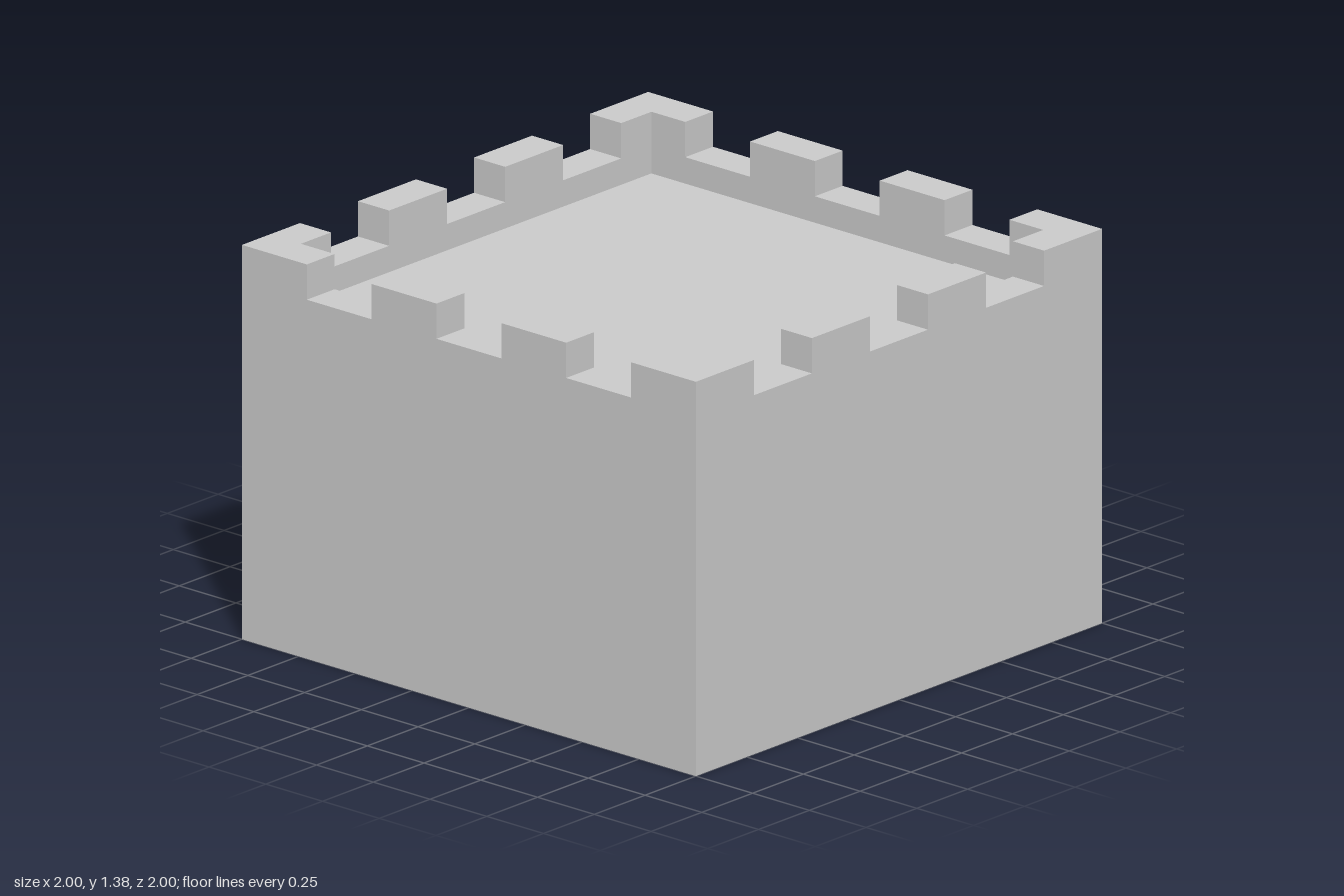
import * as THREE from 'three';

const HALF = 1;           // half the outer width
const INNER = 0.863;      // half the inner width
const FLOOR = 1.16;       // roof floor height
const NOTCH = 1.252;      // bottom of the gaps
const TOP = 1.375;        // top of the merlons
const SEGMENTS = 7;       // merlons and gaps alternate along each side

const material = new THREE.MeshStandardMaterial({ color: 0xcccccc, flatShading: true });

// Battlemented wall outline, extruded inwards and mitred at both ends
function wallGeometry() {
  const shape = new THREE.Shape();
  shape.moveTo(-HALF, 0);
  shape.lineTo(HALF, 0);
  const step = (2 * HALF) / SEGMENTS;
  for (let i = 0; i < SEGMENTS; i++) {
    const y = i % 2 ? NOTCH : TOP;
    shape.lineTo(HALF - i * step, y);
    shape.lineTo(HALF - (i + 1) * step, y);
  }
  shape.closePath();

  const geometry = new THREE.ExtrudeGeometry(shape, { depth: HALF - INNER, bevelEnabled: false });
  geometry.translate(0, 0, INNER);
  const p = geometry.attributes.position;
  for (let i = 0; i < p.count; i++) {
    const limit = p.getZ(i);
    p.setX(i, THREE.MathUtils.clamp(p.getX(i), -limit, limit));
  }
  geometry.computeVertexNormals();
  return geometry;
}

export function createModel() {
  const tower = new THREE.Group();
  tower.name = 'towerTop';

  // Four identical walls around the core
  const geometry = wallGeometry();
  ['frontWall', 'leftWall', 'backWall', 'rightWall'].forEach((name, i) => {
    const wall = new THREE.Mesh(geometry, material);
    wall.name = name;
    wall.rotation.y = (i * Math.PI) / 2;
    tower.add(wall);
  });

  // Solid core whose top is the sunken roof floor
  const core = new THREE.Mesh(new THREE.BoxGeometry(2 * INNER, FLOOR, 2 * INNER), material);
  core.name = 'roofFloor';
  core.position.y = FLOOR / 2;
  tower.add(core);

  return tower;
}
